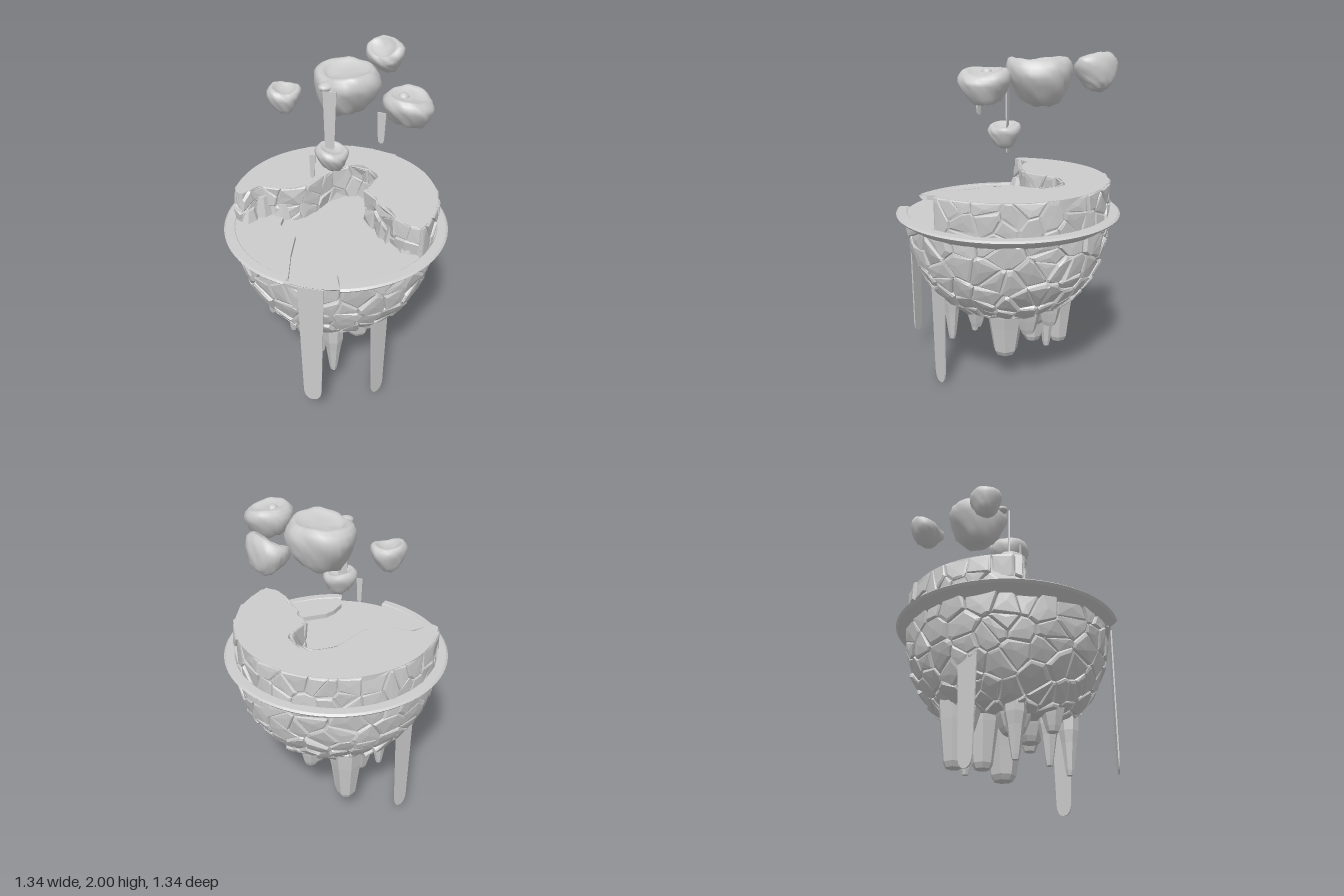
import * as THREE from 'three';
import { mergeVertices } from 'three/addons/utils/BufferGeometryUtils.js';

const mat = new THREE.MeshStandardMaterial({ color: 0xcccccc, flatShading: true, side: THREE.DoubleSide });
const smoothMat = new THREE.MeshStandardMaterial({ color: 0xcccccc });
let seed = 7;
const rnd = () => (seed = (seed * 16807) % 2147483647) / 2147483647;
const V2 = (x, y) => new THREE.Vector2(x, y);

function add(parent, name, geo, x = 0, y = 0, z = 0, material = mat) {
  const m = new THREE.Mesh(geo, material);
  m.name = name;
  m.position.set(x, y, z);
  parent.add(m);
  return m;
}

// Keep the part of a polygon that lies nearer to a than to b
function clip(poly, a, b) {
  const n = b.clone().sub(a), mid = a.clone().add(b).multiplyScalar(0.5), out = [];
  const side = p => (p.x - mid.x) * n.x + (p.y - mid.y) * n.y;
  poly.forEach((p, i) => {
    const q = poly[(i + 1) % poly.length], s = side(p), t = side(q);
    if (s <= 0) out.push(p);
    if (s * t < 0) out.push(p.clone().lerp(q, s / (s - t)));
  });
  return out;
}

// Irregular chiselled stones fitted together over a surface map(u, v, height)
function stones(cols, rows, U, V, wrap, height, map) {
  const seeds = [], pos = [];
  for (let j = 0; j < rows; j++) for (let i = 0; i < cols; i++)
    seeds.push(V2((i + (j % 2) * 0.5 + (rnd() - 0.5) * 1.3 + 0.25) / cols * U, (j + 0.5 + (rnd() - 0.5)) / rows * V));
  const others = wrap ? [-U, 0, U].flatMap(d => seeds.map(s => V2(s.x + d, s.y))) : seeds;
  for (const s of seeds) {
    const lo = wrap ? s.x - 0.5 : 0, hi = wrap ? s.x + 0.5 : U;
    let cell = [V2(lo, 0), V2(hi, 0), V2(hi, V), V2(lo, V)];
    for (const o of others) if (o.distanceToSquared(s) > 1e-8) cell = clip(cell, s, o);
    if (cell.length < 3) continue;
    const c = cell.reduce((a, p) => a.add(p), V2(0, 0)).divideScalar(cell.length);
    const h = height * (0.6 + rnd() * 0.5), tx = (rnd() - 0.5) * 0.28, ty = (rnd() - 0.5) * 0.28;
    const bevel = cell.map(() => 0.7 + rnd() * 0.2);
    const ring = (k, f) => cell.map((p, i) => {
      const q = c.clone().lerp(p, k || bevel[i]);
      return map(q.x, q.y, f * (h + (q.x - c.x) * tx + (q.y - c.y) * ty));
    });
    const foot = ring(1, 0), edge = ring(0.94, 0.7), face = ring(0, 1), top = map(c.x, c.y, h);
    const tri = (...ps) => ps.forEach(p => pos.push(p.x, p.y, p.z));
    cell.forEach((_, i) => {
      const j = (i + 1) % cell.length;
      for (const [a, b] of [[foot, edge], [edge, face]]) {
        tri(a[i], a[j], b[j]);
        tri(a[i], b[j], b[i]);
      }
      tri(face[i], face[j], top);
    });
  }
  const g = new THREE.BufferGeometry();
  g.setAttribute('position', new THREE.Float32BufferAttribute(pos, 3));
  g.computeVertexNormals();
  return g;
}

// Points (x, z) on a circle; angle runs from +z towards +x
const arc = (r, a, b, n = 48) => Array.from({ length: n + 1 }, (_, i) => {
  const t = a + (b - a) * i / n;
  return V2(r * Math.sin(t), r * Math.cos(t));
});

// Flat slab with an (x, z) outline between two heights
function slab(points, y0, y1) {
  const g = new THREE.ExtrudeGeometry(new THREE.Shape(points.map(p => V2(p.x, -p.y))), { depth: y1 - y0, bevelEnabled: false });
  return g.rotateX(-Math.PI / 2).translate(0, y0, 0);
}

// Thin hanging sheet of water with a rounded tip
function waterfall(g, x, z, top, bottom, width, yaw) {
  const w = width / 2, t = w * 0.72, s = new THREE.Shape();
  s.moveTo(-w, top);
  s.lineTo(-t, bottom + w);
  s.quadraticCurveTo(-t * 0.9, bottom, 0, bottom);
  s.quadraticCurveTo(t * 0.9, bottom, t, bottom + w);
  s.lineTo(w, top);
  const geo = new THREE.ExtrudeGeometry(s, { depth: 0.008, bevelEnabled: false, curveSegments: 6 });
  add(g, 'waterfall', geo.translate(0, 0, -0.004), x, 0, z).rotation.y = yaw;
}

// Small hovering rock with a soft lip around a shallow hollow in the top
function floatingRock(g, x, y, z, rx, ry, rz, phase, tilt = 0) {
  const prof = [[0, -1], [0.32, -0.97], [0.56, -0.8], [0.74, -0.5], [0.89, -0.12], [0.98, 0.2], [1, 0.45], [0.94, 0.66], [0.84, 0.8],
    [0.74, 0.84], [0.64, 0.78], [0.54, 0.68], [0.3, 0.62], [0, 0.62]].map(p => V2(...p));
  let geo = new THREE.LatheGeometry(prof, 30);
  geo.deleteAttribute('uv');
  geo.deleteAttribute('normal');
  geo = mergeVertices(geo, 1e-4);
  const p = geo.attributes.position;
  for (let i = 0; i < p.count; i++) {
    const a = p.getX(i), b = p.getY(i), c = p.getZ(i), low = b < 0.4 ? 1 : 0.5;
    const k = 1 + 0.04 * Math.sin(3 * a + 2 * b + phase) + 0.03 * Math.sin(4 * c - 2 * b + phase * 2)
      + low * (0.035 * Math.sin(9 * a + 8 * c + 7 * b + phase) + 0.025 * Math.sin(11 * a - 10 * c + 9 * b));
    const lift = 0.1 * Math.sin(2 * a + 2 * c + phase) - 0.12 * c * Math.max(b, 0);
    p.setXYZ(i, a * k * rx, (b * k + lift) * ry, c * k * rz);
  }
  geo.computeVertexNormals();
  add(g, 'floatingRock', geo, x, y, z, smoothMat).rotation.z = tilt;
}

export function createModel() {
  const g = new THREE.Group();
  g.name = 'floatingIsland';

  // Bowl: core and fitted stones
  const profile = new THREE.CatmullRomCurve3([[0.24, 0.47], [0.35, 0.505], [0.455, 0.6], [0.52, 0.7], [0.56, 0.8], [0.58, 0.9], [0.588, 1.02]]
    .map(([r, y]) => new THREE.Vector3(r, y, 0)));
  const core = profile.getSpacedPoints(16).map(p => V2(p.x - 0.003, p.y));
  add(g, 'bowlCore', new THREE.LatheGeometry([V2(0, 0.46), ...core], 64));
  const L = profile.getLength();
  add(g, 'bowlStones', stones(27, 6, Math.PI, L, true, 0.026, (u, v, h) => {
    const t = THREE.MathUtils.clamp(v / L, 0, 1), p = profile.getPointAt(t), d = profile.getTangentAt(t);
    const r = p.x + d.y * h;
    return new THREE.Vector3(r * Math.sin(u * 2), p.y - d.x * h, r * Math.cos(u * 2));
  }));

  // Flared rim, open where the water runs out
  const rim = [[0.59, 0.98], [0.625, 1.005], [0.66, 1.028], [0.672, 1.042], [0.66, 1.052], [0.61, 1.054], [0.6, 1.045]].map(p => V2(...p));
  add(g, 'rim', new THREE.LatheGeometry(rim, 80, -0.73, Math.PI * 2 - 0.47));

  // Water level and the two low banks beside it
  add(g, 'poolWater', new THREE.CylinderGeometry(0.628, 0.59, 0.04, 64), 0, 1.0, 0);
  const bank = (...inner) => inner.map(p => V2(...p));
  add(g, 'leftBank', slab([...arc(0.612, -1.2, -2.36, 24), ...bank([-0.26, -0.36], [-0.2, -0.25], [-0.27, -0.2], [-0.29, -0.15], [-0.28, -0.05], [-0.42, 0.07])], 1, 1.05));
  add(g, 'frontBank', slab([...arc(0.612, -0.73, 0.13, 24), ...bank([0.12, 0.34], [0.04, 0.38], [-0.05, 0.41], [-0.2, 0.35], [-0.27, 0.355], [-0.36, 0.39])], 1, 1.05));

  // Raised crescent terrace around an inlet
  const inlet = new THREE.CatmullRomCurve3([[-0.41, -0.43], [-0.41, -0.38], [-0.27, -0.38], [-0.18, -0.25], [-0.12, -0.21], [-0.03, -0.195], [0.2, -0.23], [0.35, -0.14],
    [0.33, 0.03], [0.16, 0.1], [0.14, 0.2], [0.1, 0.25], [0.11, 0.33], [0.07, 0.42], [0.06, 0.52], [0.1, 0.58]].map(([x, z]) => new THREE.Vector3(x, 0, z)), false, 'catmullrom', 0.2);
  const a0 = 0.16, a1 = 3.91, base = 1.01, H = 0.23;
  add(g, 'terrace', slab([...arc(0.597, a0, a1), ...inlet.getSpacedPoints(60).slice(1, -1).map(p => V2(p.x, p.z))], base, base + H));
  const span = (a1 - a0) * 0.6;
  add(g, 'terraceOuterStones', stones(21, 2, span, H, false, 0.018, (u, v, h) => {
    const a = a0 + u / 0.6, r = 0.592 + h;
    return new THREE.Vector3(r * Math.sin(a), base + v, r * Math.cos(a));
  }));
  const IL = inlet.getLength();
  add(g, 'terraceInnerStones', stones(17, 2, IL, H, false, 0.016, (u, v, h) => {
    const t = THREE.MathUtils.clamp(u / IL, 0, 1), p = inlet.getPointAt(t), d = inlet.getTangentAt(t);
    return new THREE.Vector3(p.x - d.z * h, base + v, p.z + d.x * h);
  }));

  // Sloping broken stone at both ends of the terrace: x, z, half width, height, half depth, yaw
  for (const [x, z, w, h, d, yaw] of [[-0.36, -0.37, 0.08, 0.09, 0.05, 0.3], [-0.27, -0.36, 0.07, 0.15, 0.05, -0.4], [-0.19, -0.27, 0.06, 0.1, 0.04, -0.8],
    [0.1, 0.38, 0.04, 0.14, 0.07, 0.2], [0.08, 0.5, 0.05, 0.1, 0.06, 0.5]]) {
    const m = add(g, 'brokenStone', new THREE.CylinderGeometry(0.45, 1, 1, 6), x, 1.03 + h / 2, z);
    m.scale.set(w, h, d);
    m.rotation.y = yaw;
  }

  // Hanging stone columns and spikes: x, z, top radius, end radius, bottom
  for (const [x, z, r, e, bottom] of [[0.1, 0.1, 0.13, 0.075, 0.16], [0.15, -0.29, 0.1, 0.06, 0.16], [0.06, -0.15, 0.1, 0.06, 0.17],
    [0.14, -0.2, 0.07, 0.025, 0.14], [0.17, -0.06, 0.12, 0.08, 0.35], [0.29, 0.08, 0.085, 0.05, 0.36], [0.28, -0.1, 0.08, 0.05, 0.36],
    [-0.26, 0.25, 0.065, 0.025, 0.17], [-0.2, -0.2, 0.07, 0.025, 0.17], [-0.22, 0.1, 0.07, 0.025, 0.2], [-0.3, 0.02, 0.08, 0.045, 0.36],
    [-0.08, 0.12, 0.12, 0.07, 0.36], [-0.1, -0.08, 0.13, 0.08, 0.36], [0.02, 0.26, 0.08, 0.045, 0.36], [0.04, -0.3, 0.08, 0.04, 0.34]]) {
    const h = 0.54 - bottom, prof = [V2(0, -h), V2(e * 0.75, -h), V2(e, -h + 0.03), V2((r + e) * 0.5, -h * 0.5), V2(r * 0.9, -h * 0.3), V2(r, 0)];
    add(g, 'hangingColumn', new THREE.LatheGeometry(prof, 7), x, 0.54, z).rotation.y = rnd() * 6;
  }

  // Water falling from the bowl
  waterfall(g, -0.52, 0.345, 1.015, 0.16, 0.15, Math.atan2(-0.53, 0.35));
  waterfall(g, -0.085, 0.46, 0.61, 0, 0.14, 0);
  waterfall(g, -0.11, -0.51, 0.74, 0.07, 0.13, 0);

  // Floating rocks, a spout on the largest, and their trickles
  floatingRock(g, 0.17, 1.82, -0.09, 0.195, 0.15, 0.195, 0.5);
  floatingRock(g, 0.225, 1.825, 0.33, 0.14, 0.1, 0.14, 2);
  floatingRock(g, -0.03, 1.497, 0, 0.095, 0.073, 0.095, 3.1);
  floatingRock(g, -0.085, 1.767, -0.34, 0.097, 0.08, 0.097, 4.2);
  floatingRock(g, 0.565, 1.895, -0.155, 0.098, 0.09, 0.13, 5.5, 0.5);
  add(g, 'spout', new THREE.SphereGeometry(1, 12, 8), 0.0, 1.895, -0.075, smoothMat).scale.set(0.055, 0.025, 0.04);
  add(g, 'pebble', new THREE.IcosahedronGeometry(0.032, 2), 0.205, 1.888, 0.305, smoothMat);
  waterfall(g, -0.03, -0.02, 1.89, 1.53, 0.075, -0.9);
  waterfall(g, 0.08, 0.27, 1.83, 1.65, 0.05, -1.2);
  waterfall(g, -0.11, -0.08, 1.51, 1.36, 0.035, -1);
  return g;
}
